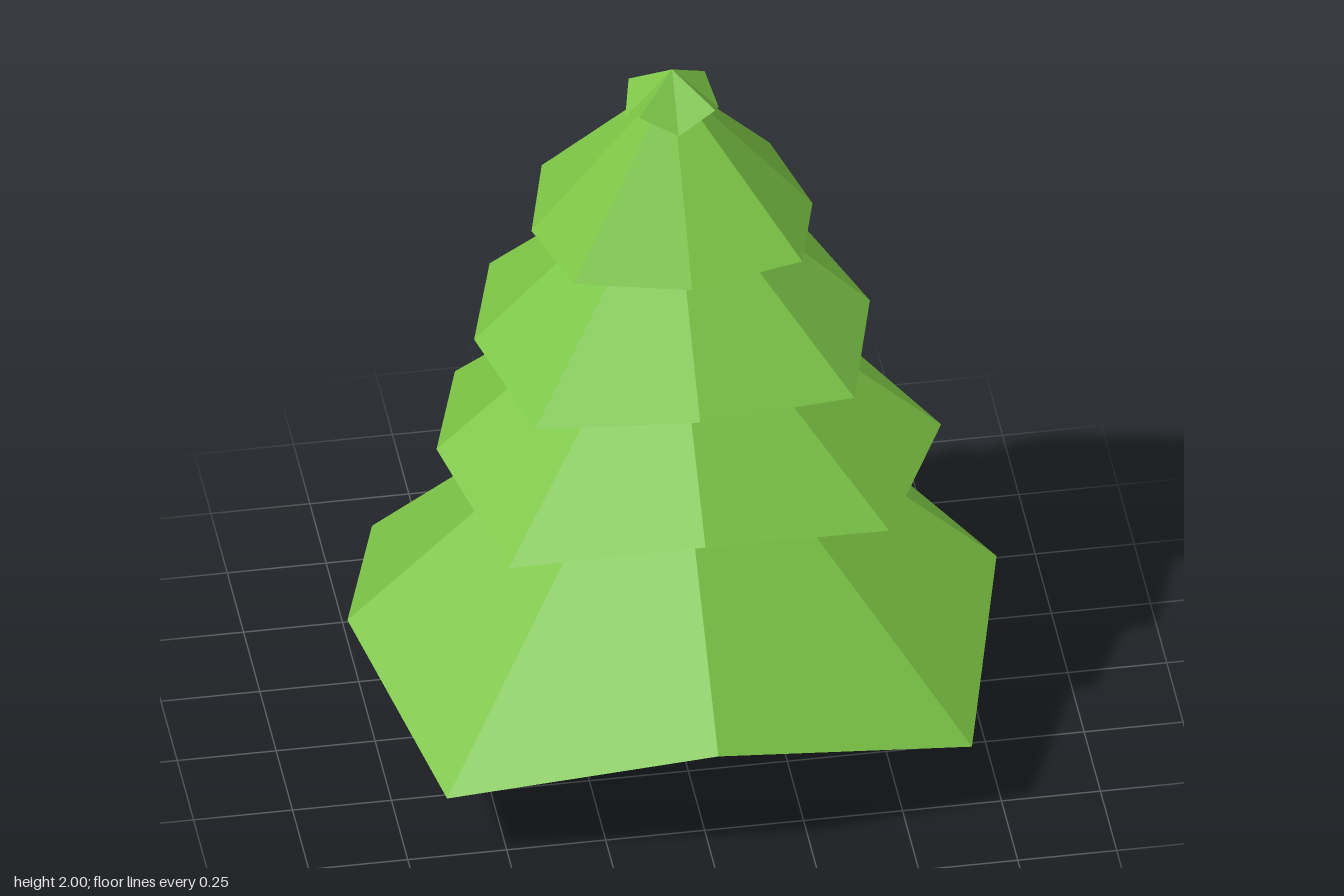
import * as THREE from 'three';

// One closed layer of branches: faceted cone above, folded underside below.
function tierGeometry({ apex, midX, midZ, midY, cornerX, cornerZ, cornerY, underY, inner, leftMid }) {
  const rim = [];
  for (let i = 0; i < 8; i++) {
    const c = Math.sign(Math.round(Math.cos(i * Math.PI / 4) * 10));
    const s = Math.sign(Math.round(Math.sin(i * Math.PI / 4) * 10));
    rim.push(i % 2
      ? new THREE.Vector3(c * cornerX, cornerY, s * cornerZ)
      : new THREE.Vector3(c * midX, midY, s * midZ));
  }
  if (leftMid) rim[0].set(leftMid[0], leftMid[1], 0); // one drooping branch tip
  const ring = rim.map(p => new THREE.Vector3(p.x * inner, underY, p.z * inner));
  const top = new THREE.Vector3(0, apex, 0);
  const centre = new THREE.Vector3(0, underY, 0);
  const points = [];
  for (let i = 0; i < 8; i++) {
    const j = (i + 1) % 8;
    points.push(top, rim[j], rim[i]);
    points.push(rim[i], rim[j], ring[j], rim[i], ring[j], ring[i]);
    points.push(centre, ring[i], ring[j]);
  }
  const geometry = new THREE.BufferGeometry().setFromPoints(points);
  geometry.computeVertexNormals();
  return geometry;
}

export function createModel() {
  const group = new THREE.Group();
  group.name = 'pineTree';

  const green = new THREE.MeshStandardMaterial({ color: 0x7cc546 });
  green.name = 'leafGreen';
  const brown = new THREE.MeshStandardMaterial({ color: 0xbb9935 });
  brown.name = 'barkBrown';

  // Eight-sided trunk, slightly off centre
  const trunk = new THREE.Mesh(
    new THREE.CylinderGeometry(0.198, 0.198, 0.3, 8).toNonIndexed(), brown);
  trunk.geometry.computeVertexNormals();
  trunk.scale.z = 0.96;
  trunk.position.set(-0.032, 0.15, 0.014);
  trunk.name = 'trunk';
  group.add(trunk);

  // Branch layers from the bottom up
  const tiers = {
    bottomBranches: { apex: 1.15, midX: 0.82, midZ: 0.71, midY: 0.385,
      cornerX: 0.663, cornerZ: 0.575, cornerY: 0.235, underY: 0.225, inner: 0.56 },
    lowerBranches: { apex: 1.44, midX: 0.595, midZ: 0.513, midY: 0.89,
      cornerX: 0.48, cornerZ: 0.415, cornerY: 0.812, underY: 0.81, inner: 0.56,
      leftMid: [0.68, 0.812] },
    middleBranches: { apex: 1.73, midX: 0.5, midZ: 0.433, midY: 1.22,
      cornerX: 0.403, cornerZ: 0.35, cornerY: 1.187, underY: 1.18, inner: 0.56 },
    upperBranches: { apex: 1.97, midX: 0.355, midZ: 0.308, midY: 1.54,
      cornerX: 0.288, cornerZ: 0.25, cornerY: 1.552, underY: 1.545, inner: 0.56 },
    treeTip: { apex: 2.0, midX: 0.118, midZ: 0.103, midY: 1.868,
      cornerX: 0.096, cornerZ: 0.083, cornerY: 1.922, underY: 1.915, inner: 0.5 },
  };
  for (const [name, spec] of Object.entries(tiers)) {
    const tier = new THREE.Mesh(tierGeometry(spec), green);
    tier.name = name;
    group.add(tier);
  }
  return group;
}
